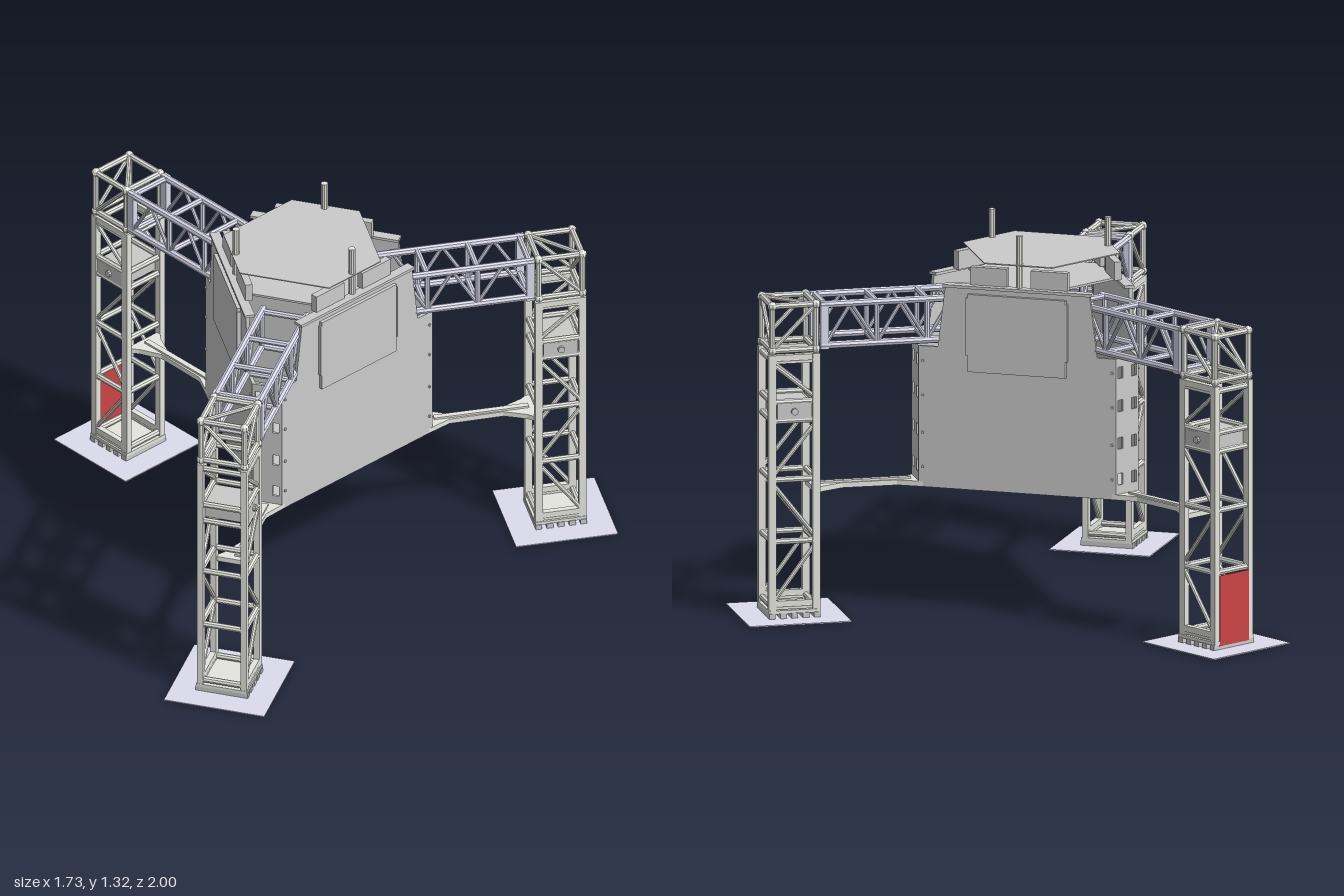
import * as THREE from 'three';
import { mergeGeometries } from 'three/addons/utils/BufferGeometryUtils.js';

const mat = (color) => new THREE.MeshStandardMaterial({ color, flatShading: true, side: THREE.DoubleSide });
const GREY = mat(0xcccccc), LIGHT = mat(0xe6e6e0), LILAC = mat(0xdcdcee), RED = mat(0xcc4444);
const CX = 0.183;                       // centre of the three-fold layout
const IN = 0.797, OUT = 0.949, W = 0.077; // leg post positions: radial and sideways
const Y_UP = new THREE.Vector3(0, 1, 0);

function add(parent, name, geo, material, x = 0, y = 0, z = 0) {
  const m = new THREE.Mesh(geo, material);
  m.name = name;
  m.position.set(x, y, z);
  parent.add(m);
  return m;
}
const box = (parent, name, material, w, h, d, x, y, z) =>
  add(parent, name, new THREE.BoxGeometry(w, h, d), material, x, y, z);

// Round tube between two points
function bar(a, b, r = 0.01, sides = 8) {
  const p = new THREE.Vector3(...a), q = new THREE.Vector3(...b), d = q.clone().sub(p);
  const g = new THREE.CylinderGeometry(r, r, d.length(), sides);
  g.applyQuaternion(new THREE.Quaternion().setFromUnitVectors(Y_UP, d.normalize()));
  return g.translate((p.x + q.x) / 2, (p.y + q.y) / 2, (p.z + q.z) / 2);
}
const block = (w, h, d, x, y, z) => new THREE.BoxGeometry(w, h, d).translate(x, y, z);
const poly = (pts) => new THREE.Shape(pts.map((p) => new THREE.Vector2(...p)));
const extrude = (shape, depth) => new THREE.ExtrudeGeometry(shape, { depth, bevelEnabled: false });
// Flat outline in (x, z) thickened upwards
const slab = (pts, depth) => extrude(poly(pts), depth).rotateX(-Math.PI / 2);
// Repeats points around the three-fold axis
function threefold(pts) {
  const out = [];
  for (let k = 0; k < 3; k++) {
    const c = Math.cos(k * Math.PI * 2 / 3), s = Math.sin(k * Math.PI * 2 / 3);
    pts.forEach(([x, y]) => out.push([x * c - y * s, x * s + y * c]));
  }
  return out;
}

// Vertical leg, foot and corner cube; x is the outward direction
function buildLeg(parent, hasRedPanel) {
  const leg = new THREE.Group();
  leg.name = 'leg';
  parent.add(leg);
  const mid = (IN + OUT) / 2, parts = [];
  const levels = [0.045, 0.27, 0.485, 0.69, 0.755, 0.9];
  for (const s of [-1, 1]) {
    for (const x of [IN, OUT]) parts.push(block(0.026, 0.89, 0.022, x, 0.475, s * W));
    for (const y of levels) parts.push(bar([IN, y, s * W], [OUT, y, s * W], 0.011));
    parts.push(block(0.15, 0.03, 0.02, mid, 0.905, s * W), block(0.15, 0.03, 0.02, mid, 0.05, s * W));
    [0, 1, 2, 4].forEach((k, i) => {
      const [x0, x1] = i % 2 ? [IN, OUT] : [OUT, IN];
      parts.push(bar([x0, levels[k] + 0.01, s * W], [x1, levels[k + 1] - 0.01, s * W], 0.008));
    });
  }
  for (const x of [IN, OUT]) for (const y of levels) parts.push(bar([x, y, -W], [x, y, W], 0.011));
  add(leg, 'legTruss', mergeGeometries(parts), LIGHT);

  // Corner cube joining leg and arm
  const cube = [], lo = 0.935, hi = 1.09;
  for (const y of [lo, hi]) {
    for (const s of [-1, 1]) cube.push(bar([IN, y, s * W], [OUT, y, s * W], 0.011));
    for (const x of [IN, OUT]) cube.push(bar([x, y, -W], [x, y, W], 0.011));
  }
  for (const s of [-1, 1]) {
    for (const x of [IN, OUT]) {
      cube.push(bar([x, lo, s * W], [x, hi, s * W], 0.011));
      for (const y of [lo, hi]) cube.push(new THREE.SphereGeometry(0.016, 8, 6).translate(x, y, s * W).toNonIndexed());
    }
    cube.push(bar([OUT, lo, s * W], [IN, hi, s * W], 0.008));
  }
  cube.push(bar([IN, hi, -W], [OUT, hi, W], 0.008), bar([OUT, lo, -W], [OUT, hi, W], 0.008));
  add(leg, 'cornerCube', mergeGeometries(cube.map((g) => (g.index ? g.toNonIndexed() : g))), LIGHT);

  // Equipment box, foot and ground plate
  box(leg, 'equipmentBox', GREY, 0.12, 0.055, 0.172, mid, 0.722, 0);
  for (const s of [-1, 1]) {
    const knob = add(leg, 'equipmentKnob', new THREE.CylinderGeometry(0.012, 0.012, 0.012, 10), GREY, mid, 0.722, s * 0.09);
    knob.rotation.x = Math.PI / 2;
  }
  box(leg, 'footBase', LIGHT, 0.18, 0.012, 0.18, mid, 0.026, 0);
  for (let i = -2; i <= 2; i++) box(leg, 'footRib', GREY, 0.022, 0.02, 0.185, mid + i * 0.039, 0.012, 0);
  box(leg, 'groundPlate', LILAC, 0.355, 0.004, 0.355, mid, 0.002, 0);
  if (hasRedPanel) box(leg, 'redPanel', RED, 0.006, 0.245, 0.135, OUT + 0.012, 0.138, 0);
}

// Horizontal arm truss and lower strut
function buildArm(parent) {
  const arm = new THREE.Group();
  arm.name = 'arm';
  parent.add(arm);
  const lo = 0.945, hi = 1.087, stations = [0.24, 0.41, 0.585, 0.765], parts = [];
  for (const s of [-1, 1]) {
    for (const y of [lo, hi]) parts.push(bar([0.22, y, s * W], [0.78, y, s * W], 0.013));
    stations.forEach((x, i) => {
      parts.push(bar([x, lo, s * W], [x, hi, s * W], 0.01));
      if (i === 3) return;
      // Zigzag of two diagonals per bay
      const m = (x + stations[i + 1]) / 2;
      parts.push(bar([x, lo, s * W], [m, hi, s * W], 0.007), bar([m, hi, s * W], [stations[i + 1], lo, s * W], 0.007));
    });
    parts.push(block(0.028, 0.165, 0.022, 0.768, 1.015, s * W));
  }
  for (const x of stations) for (const y of [lo, hi]) parts.push(bar([x, y, -W], [x, y, W], 0.011));
  add(arm, 'armTruss', mergeGeometries(parts), LILAC);

  // Strut widens into a gusset at both ends
  const half = [[0.33, 0.068], [0.42, 0.06], [0.5, 0.018], [0.69, 0.015], [0.765, 0.05], [0.8, 0.08]];
  const outline = [...half.map(([x, z]) => [x, -z]), ...half.slice().reverse()];
  add(arm, 'lowerStrut', slab(outline, 0.018), LIGHT, 0, 0.43, 0);
  box(arm, 'strutRib', LIGHT, 0.33, 0.014, 0.02, 0.615, 0.448, 0);
}

// Slotted strip closing a body corner
function buildCornerStrip(parent) {
  const shape = poly([[-0.0525, 0.43], [0.0525, 0.43], [0.0525, 0.92], [-0.0525, 0.92]]);
  for (const y of [0.5, 0.625, 0.755, 0.87]) {
    for (const t of [-0.031, 0.031]) {
      const h = new THREE.Path();
      h.moveTo(t - 0.011, y - 0.02).lineTo(t + 0.011, y - 0.02).lineTo(t + 0.011, y + 0.02).lineTo(t - 0.011, y + 0.02).closePath();
      shape.holes.push(h);
    }
  }
  add(parent, 'cornerStrip', extrude(shape, 0.008).rotateY(Math.PI / 2), GREY, 0.425, 0, 0);
}

// One body side: wall, raised panel, top boxes, antenna
function buildSide(parent) {
  const wall = [[-0.349, 0.43], [0.349, 0.43], [0.349, 0.92], [0.282, 0.92], [0.255, 1.135],
    [-0.255, 1.135], [-0.282, 0.92], [-0.349, 0.92]];
  add(parent, 'bodyWall', extrude(poly(wall), 0.012).rotateY(Math.PI / 2), GREY, 0.25, 0, 0);
  box(parent, 'topLip', GREY, 0.035, 0.01, 0.525, 0.25, 1.135, 0);
  box(parent, 'hatchPanel', GREY, 0.012, 0.27, 0.346, 0.268, 0.978, 0);
  for (const s of [-1, 1]) {
    box(parent, 'hatchHinge', GREY, 0.014, 0.2, 0.006, 0.268, 1.0, s * 0.176);
    box(parent, 'topBox', GREY, 0.025, 0.065, 0.13, 0.232, 1.17, s * 0.107);
    for (const y of [0.5, 0.62, 0.75, 0.87]) {
      const bolt = add(parent, 'wallBolt', new THREE.CylinderGeometry(0.005, 0.005, 0.006, 6), GREY, 0.264, y, s * 0.335);
      bolt.rotation.z = Math.PI / 2;
    }
  }
  add(parent, 'antenna', new THREE.CylinderGeometry(0.012, 0.012, 0.185, 10), LIGHT, 0.237, 1.2275, 0);
  // Edge beam under the wall
  box(parent, 'floorBeam', LIGHT, 0.03, 0.025, 0.69, 0.238, 0.44, 0);
}

export function createModel() {
  const model = new THREE.Group();
  model.name = 'tripodLander';
  const core = new THREE.Group();
  core.name = 'core';
  core.position.x = CX;
  model.add(core);

  for (let k = 0; k < 3; k++) {
    const side = new THREE.Group();
    side.name = 'bodySide';
    side.rotation.y = k * Math.PI * 2 / 3;
    core.add(side);
    buildSide(side);

    const limb = new THREE.Group();
    limb.name = 'limb';
    limb.rotation.y = Math.PI + k * Math.PI * 2 / 3;
    core.add(limb);
    buildLeg(limb, k === 0);
    buildArm(limb);
    buildCornerStrip(limb);
  }

  // Floor, inner deck and thin cover plate
  add(core, 'floor', slab(threefold([[0.25, -0.34], [0.25, 0.34]]), 0.008), GREY, 0, 0.45, 0);
  add(core, 'innerDeck', slab(threefold([[0.235, -0.11], [0.235, 0.11]]), 0.008), GREY, 0, 1.125, 0);
  add(core, 'coverPlate', slab(threefold([[0.252, -0.12], [0.252, 0.12]]), 0.004), GREY, 0, 1.217, 0);
  return model;
}
